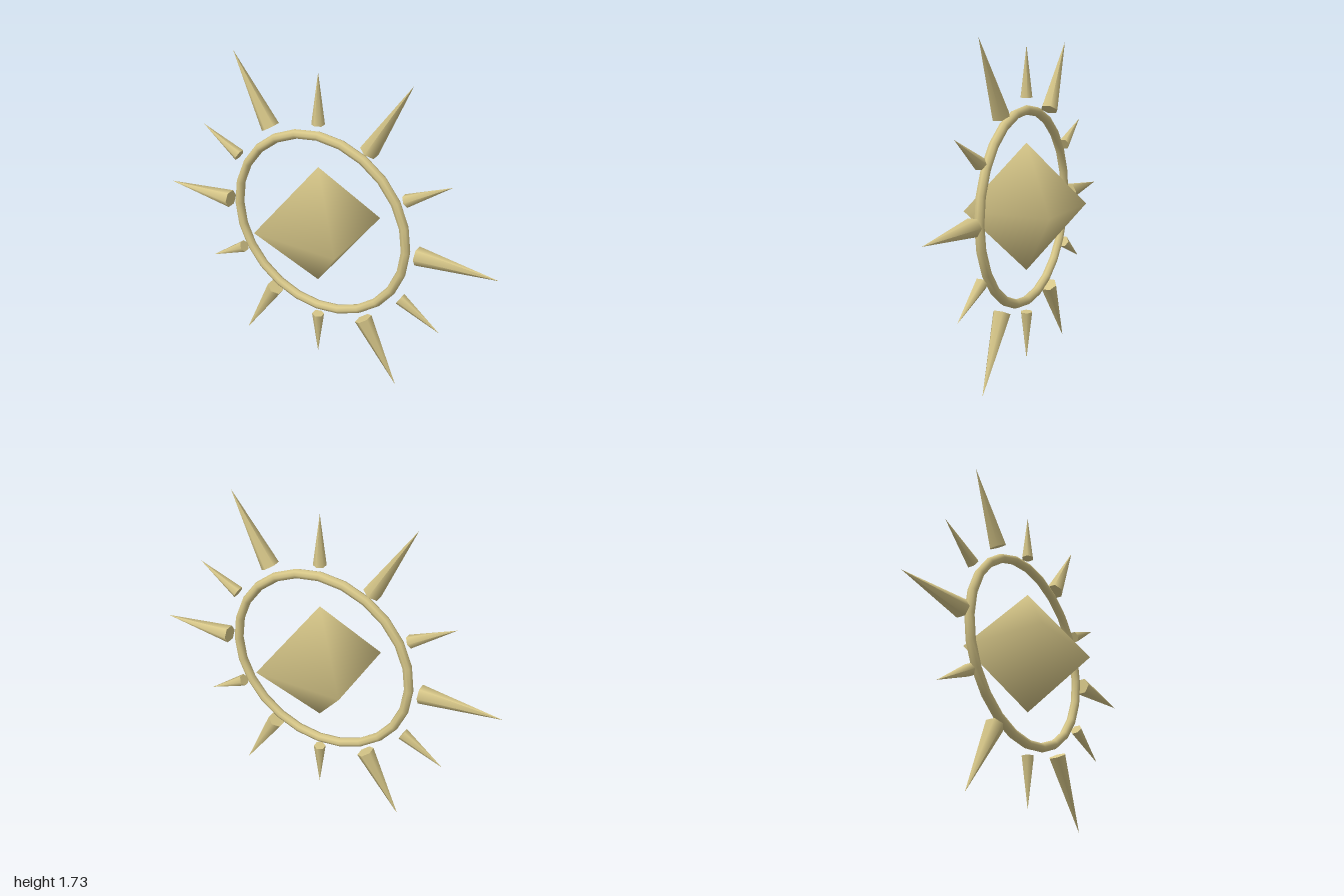
import * as THREE from 'three';

export function createModel() {
  const model = new THREE.Group();
  model.name = 'sunEmblem';
  const gold = new THREE.MeshStandardMaterial({ color: 0xd6c688 });
  gold.name = 'paleGold';

  // everything is arranged around the hub of the ring
  const hub = new THREE.Group();
  hub.name = 'hub';
  hub.position.y = 0.866;
  model.add(hub);

  const add = (name, geometry) => {
    const mesh = new THREE.Mesh(geometry, gold);
    mesh.name = name;
    hub.add(mesh);
    return mesh;
  };

  // ring
  add('ring', new THREE.TorusGeometry(0.511, 0.025, 8, 24));

  // four-sided double pyramid with soft shading
  add('crystal', new THREE.SphereGeometry(0.342, 4, 2).rotateY(Math.PI / 4));

  // twelve six-sided spikes, long and short in turn
  const inner = 0.574;
  for (let i = 0; i < 12; i++) {
    const long = i % 2 === 0;
    const length = (long ? 1 : 0.84) - inner;
    const geometry = new THREE.ConeGeometry(long ? 0.049 : 0.034, length, 6);
    geometry.translate(0, inner + length / 2, 0);
    const spike = add(long ? 'longSpike' : 'shortSpike', geometry);
    spike.rotation.z = (i * Math.PI) / 6 - Math.PI / 2;
  }
  return model;
}
